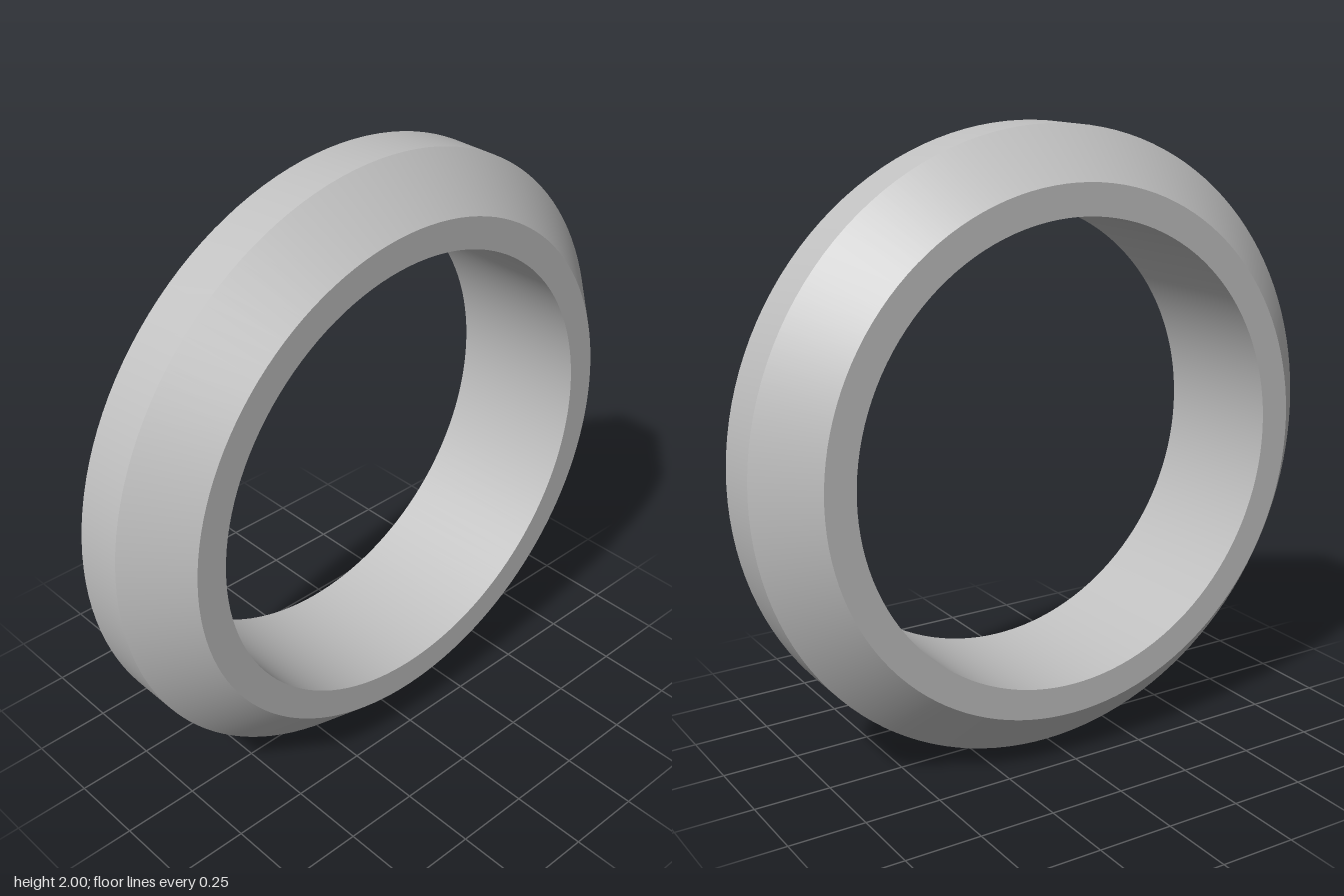
import * as THREE from 'three';
import { toCreasedNormals } from 'three/addons/utils/BufferGeometryUtils.js';

export function createModel() {
  const model = new THREE.Group();
  model.name = 'bevelledRing';

  const grey = new THREE.MeshStandardMaterial({ color: 0xc0c0c0 });
  grey.name = 'grey';

  // Closed cross-section [radius, depth]: bore, flat rims, bevels and outer band
  const profile = [
    [0.74, -0.24], [0.84, -0.24], [1, -0.08], [1, 0.08],
    [0.84, 0.24], [0.74, 0.24], [0.74, -0.24],
  ].map(([r, d]) => new THREE.Vector2(r, d));

  // Spin the section, stand the ring upright and keep the bevel edges sharp
  const geometry = new THREE.LatheGeometry(profile, 128);
  geometry.rotateX(Math.PI / 2);
  const ring = new THREE.Mesh(toCreasedNormals(geometry, Math.PI / 6), grey);
  ring.name = 'ring';
  ring.position.y = 1;
  model.add(ring);

  return model;
}
